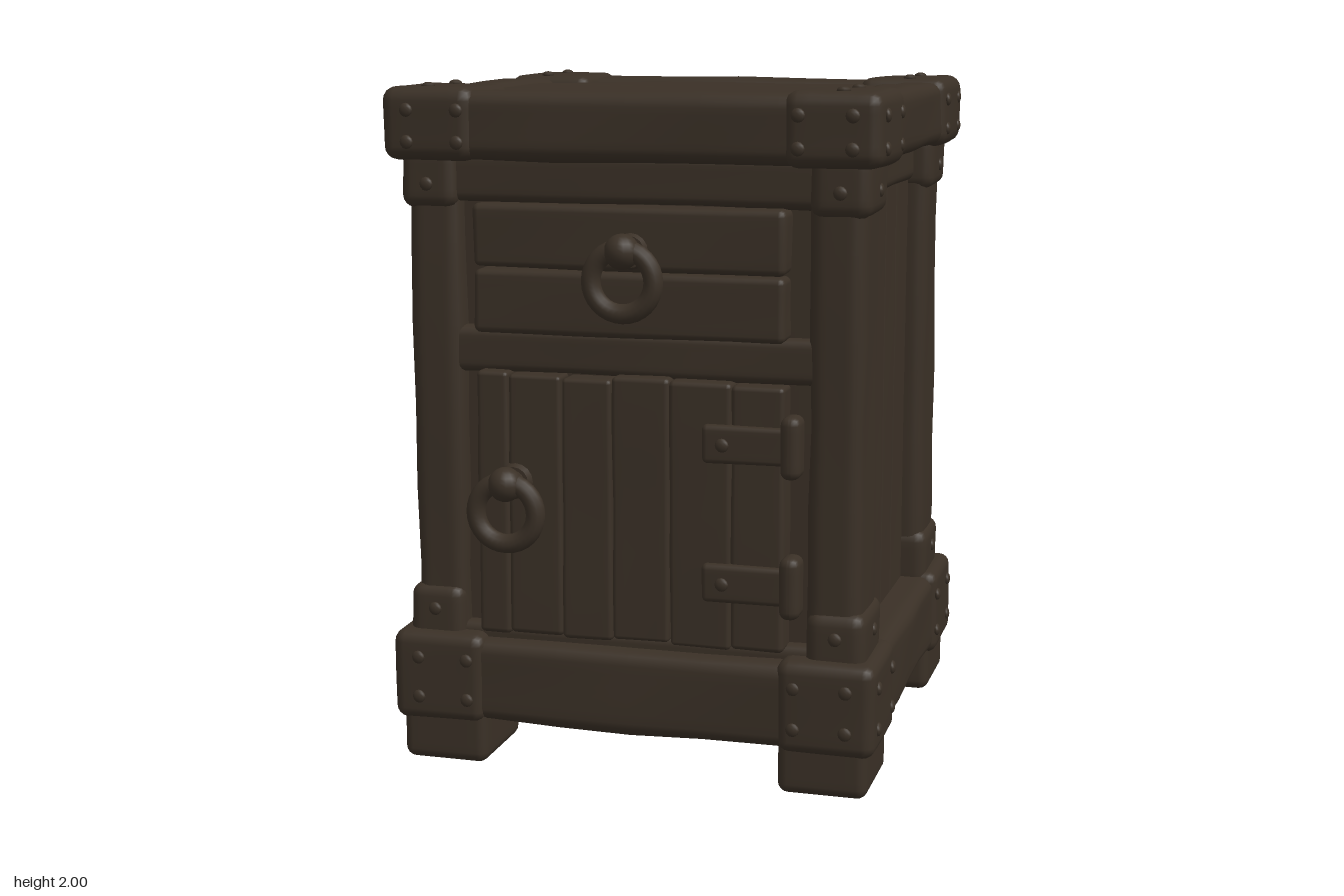
import * as THREE from 'three';
import { mergeVertices } from 'three/addons/utils/BufferGeometryUtils.js';

const wood = new THREE.MeshStandardMaterial({ color: 0x3a3026 });
wood.name = 'dark brown wood';

// Rounded block between two corners, with a slight hand-carved waviness.
function blockGeometry([x0, y0, z0], [x1, y1, z1], radius, wave) {
  const half = [(x1 - x0) / 2, (y1 - y0) / 2, (z1 - z0) / 2];
  const mid = [(x1 + x0) / 2, (y1 + y0) / 2, (z1 + z0) / 2];
  const r = Math.min(radius, ...half.map((h) => h * 0.9));
  const n = 10;
  let geo = new THREE.BoxGeometry(2, 2, 2, n, n, n);
  geo.deleteAttribute('uv');
  geo.deleteAttribute('normal');
  geo = mergeVertices(geo, 1e-4);
  const pos = geo.attributes.position;
  // Two grid steps at each end fall inside the rounded edge
  const spread = (t, h) => {
    const k = Math.round((t + 1) / 2 * n);
    const e = Math.min(k, n - k);
    if (e < 2) return Math.sign(t) * (h - e * r * 0.6);
    return (h - r) * ((k - 2) / (n - 4) * 2 - 1);
  };
  for (let i = 0; i < pos.count; i++) {
    const p = [pos.getX(i), pos.getY(i), pos.getZ(i)].map((t, a) => spread(t, half[a]));
    const core = p.map((v, a) => THREE.MathUtils.clamp(v, r - half[a], half[a] - r));
    const d = new THREE.Vector3(...p.map((v, a) => v - core[a])).normalize();
    const [x, y, z] = core.map((c, a) => c + mid[a]);
    const w = wave * (Math.sin(x * 9 + z * 13 + y * 5) + Math.sin(y * 15 - x * 6 + z * 7 + 1)) / 2;
    d.multiplyScalar(r + w);
    pos.setXYZ(i, x + d.x, y + d.y, z + d.z);
  }
  geo.computeVertexNormals();
  return geo;
}

export function createModel() {
  const root = new THREE.Group();
  root.name = 'nightstand';

  const add = (name, geo, parent = root) => {
    const mesh = new THREE.Mesh(geo, wood);
    mesh.name = name;
    parent.add(mesh);
    return mesh;
  };
  const block = (name, a, b, r = 0.025, wave = 0.004, parent = root) =>
    add(name, blockGeometry(a, b, r, wave), parent);

  // Flattened bolt head facing along an axis
  const boltGeo = new THREE.SphereGeometry(0.02, 10, 6);
  const bolt = (x, y, z, axis) => {
    const m = add('bolt', boltGeo);
    m.position.set(x, y, z);
    m.scale[axis] = 0.55;
  };

  // Carcass: core, bottom slab and recessed rails
  block('cabinetCore', [-0.59, 0.16, -0.61], [0.59, 1.9, 0.53], 0.01, 0);
  block('bottomSlab', [-0.64, 0.14, -0.66], [0.64, 0.36, 0.57], 0.01, 0);
  block('frontTopRail', [-0.55, 1.66, 0.48], [0.55, 1.8, 0.575]);
  block('frontMiddleRail', [-0.55, 1.17, 0.48], [0.55, 1.3, 0.572]);
  block('frontBottomRail', [-0.55, 0.34, 0.48], [0.55, 0.42, 0.57]);
  block('backTopRail', [-0.55, 1.68, -0.65], [0.55, 1.8, -0.56]);

  // Vertical planks on the sides and back
  for (const s of [1, -1]) {
    const lo = s > 0 ? 0.55 : -0.62;
    block('sideTopRail', [lo, 1.67, -0.46], [lo + 0.07, 1.8, 0.37]);
    const zs = [-0.45, -0.24, -0.07, 0.1, 0.22, 0.36];
    for (let i = 0; i < 5; i++) {
      block('sidePlank', [s > 0 ? 0.54 : -0.605, 0.36, zs[i]], [s > 0 ? 0.605 : -0.54, 1.68, zs[i + 1]], 0.008, 0.002);
    }
  }
  for (let i = 0; i < 6; i++) {
    const x = -0.48 + i * 0.16;
    block('backPlank', [x, 0.36, -0.63], [x + 0.16, 1.7, -0.56], 0.008, 0.002);
  }

  // Base and top frames made of beams
  const frame = (name, y0, y1, sideIn) => {
    block(name + 'FrontBeam', [-0.69, y0, 0.38], [0.69, y1, 0.63], 0.04, 0.006);
    block(name + 'BackBeam', [-0.69, y0, -0.72], [0.69, y1, -0.52], 0.04, 0.006);
    block(name + 'LeftBeam', [sideIn, y0, -0.68], [0.708, y1, 0.6], 0.04, 0.006);
    block(name + 'RightBeam', [-0.708, y0, -0.68], [-sideIn, y1, 0.6], 0.04, 0.006);
  };
  frame('base', 0.13, 0.38, 0.54);
  frame('top', 1.78, 1.975, 0.555);

  // Table top planks, slightly sunk in the frame
  const tops = [-0.54, -0.24, 0.15, 0.4];
  for (let i = 0; i < 3; i++) {
    block('topPlank', [-0.58, 1.84, tops[i]], [0.58, 1.962, tops[i + 1]], 0.012, 0.003);
  }

  // Four corners: foot, post, post cuffs, brackets and bolts
  for (const sx of [1, -1]) {
    for (const front of [true, false]) {
      const corner = (name, xIn, xOut, zf, zb, y0, y1, r, w) => {
        const [z0, z1] = front ? zf : zb;
        block(name, [sx > 0 ? xIn : -xOut, y0, z0], [sx > 0 ? xOut : -xIn, y1, z1], r, w);
      };
      corner('foot', 0.44, 0.7, [0.32, 0.625], [-0.72, -0.42], 0, 0.2, 0.03, 0);
      corner('post', 0.51, 0.667, [0.34, 0.585], [-0.67, -0.43], 0.3, 1.82, 0.04, 0.006);
      corner('lowerCuff', 0.515, 0.683, [0.33, 0.6], [-0.688, -0.425], 0.34, 0.53, 0.035, 0.003);
      corner('upperCuff', 0.515, 0.683, [0.33, 0.6], [-0.688, -0.425], 1.64, 1.82, 0.035, 0.003);
      corner('baseBracket', 0.44, 0.722, [0.31, 0.643], [-0.74, -0.425], 0.125, 0.395, 0.035, 0.003);
      corner('topBracket', 0.445, 0.722, [0.3, 0.643], [-0.74, -0.41], 1.775, 1.985, 0.04, 0.003);

      const zFace = front ? 0.643 : -0.74;
      const zIn = front ? [0.36, 0.57] : [-0.46, -0.66];
      for (const y of [0.2, 0.32, 1.83, 1.92]) {
        for (const x of [0.49, 0.64]) bolt(sx * x, y, zFace, 'z');
        for (const z of zIn) bolt(sx * 0.722, y, z, 'x');
      }
      for (const y of [0.46, 1.71]) {
        bolt(sx * 0.6, y, front ? 0.602 : -0.69, 'z');
        bolt(sx * 0.684, y, front ? 0.46 : -0.56, 'x');
      }
      for (const z of zIn) bolt(sx * 0.6, 1.985, z, 'y');
    }
  }

  // Drawer front of two boards
  const drawer = new THREE.Group();
  drawer.name = 'drawer';
  root.add(drawer);
  block('drawerLowerBoard', [-0.46, 1.29, 0.5], [0.452, 1.475, 0.617], 0.02, 0.003, drawer);
  block('drawerUpperBoard', [-0.46, 1.478, 0.5], [0.452, 1.66, 0.617], 0.02, 0.003, drawer);

  // Door of vertical planks
  const door = new THREE.Group();
  door.name = 'door';
  root.add(door);
  const xs = [-0.455, -0.36, -0.2, -0.05, 0.12, 0.3, 0.452];
  for (let i = 0; i < 6; i++) {
    block('doorPlank', [xs[i], 0.405 + (i % 2) * 0.006, 0.5], [xs[i + 1], 1.18 - (i % 3) * 0.005, 0.612], 0.014, 0.003, door);
  }

  // Strap hinges
  for (const y of [0.605, 1.005]) {
    block('hingeStrap', [0.22, y - 0.055, 0.59], [0.47, y + 0.055, 0.632], 0.015, 0.002);
    block('hingeKnuckle', [0.445, y - 0.09, 0.56], [0.505, y + 0.09, 0.648], 0.025, 0.001);
    bolt(0.28, y, 0.634, 'z');
  }

  // Ring pulls hanging from a knob
  for (const [x, y] of [[0.012, 1.467], [-0.338, 0.793]]) {
    const pull = new THREE.Group();
    pull.name = 'ringPull';
    pull.position.set(x, y, 0);
    root.add(pull);
    const ring = add('ring', new THREE.TorusGeometry(0.09, 0.028, 12, 32), pull);
    ring.position.set(0, -0.005, 0.697);
    const stem = add('stem', new THREE.CylinderGeometry(0.03, 0.038, 0.11, 14), pull);
    stem.rotation.x = Math.PI / 2;
    stem.position.set(0, 0.07, 0.645);
    const plate = add('plate', new THREE.CylinderGeometry(0.045, 0.055, 0.025, 16), pull);
    plate.rotation.x = Math.PI / 2;
    plate.position.set(0, 0.07, 0.62);
    const knob = add('knob', new THREE.SphereGeometry(0.05, 16, 12), pull);
    knob.position.set(0, 0.078, 0.698);
  }
  return root;
}
